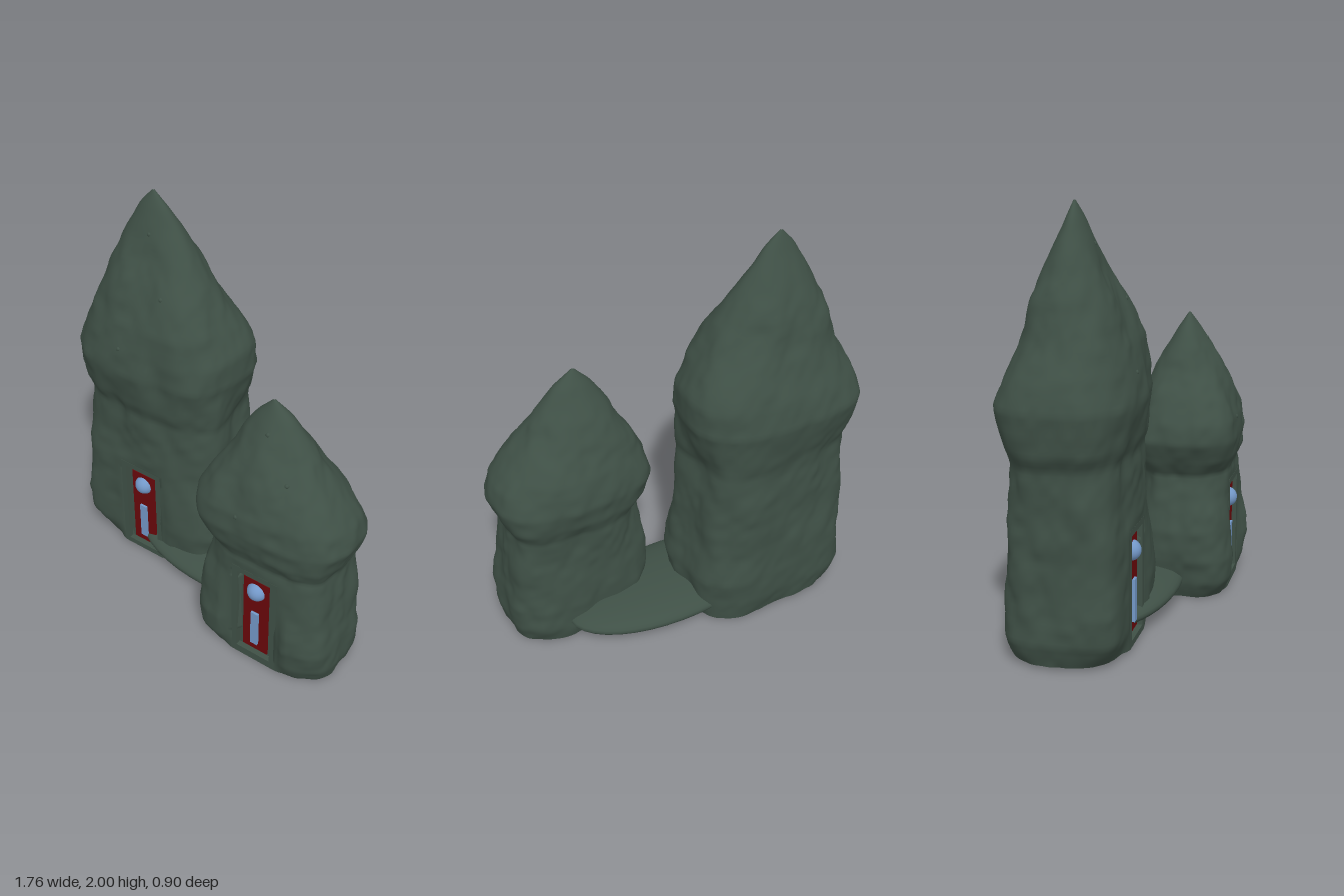
import * as THREE from 'three';

const green = new THREE.MeshStandardMaterial({ color: 0x3f5046 });
green.name = 'mossy stone';
const red = new THREE.MeshStandardMaterial({ color: 0x6a080a });
red.name = 'dark red';
const blue = new THREE.MeshStandardMaterial({ color: 0x7398c8 });
blue.name = 'pale blue';

// Seeded smooth value noise, -1..1
function hash(x, y, z) {
  let h = Math.imul(x, 374761393) ^ Math.imul(y, 668265263) ^ Math.imul(z, 2147425276);
  h = Math.imul(h ^ (h >>> 13), 1274126177);
  return ((h ^ (h >>> 16)) >>> 0) / 2147483648 - 1;
}
function noise(x, y, z) {
  const [i, j, k] = [x, y, z].map(Math.floor);
  const [a, b, c] = [x - i, y - j, z - k].map(t => t * t * (3 - 2 * t));
  const m = THREE.MathUtils.lerp;
  const row = (dy, dz) => m(hash(i, j + dy, k + dz), hash(i + 1, j + dy, k + dz), a);
  return m(m(row(0, 0), row(1, 0), b), m(row(0, 1), row(1, 1), b), c);
}

// Silhouettes: [y, left x, right x, back z, front z, then the squareness of the
// four corners going round from +x +z, -x +z, -x -z to +x -z]
const tallRock = [
  [0.015, -0.80, 0.01, -0.395, 0.12, 2.8, 2.7, 2.8, 2.8],
  [0.12, -0.84, 0.03, -0.42, 0.14, 3.6, 4.5, 3.3, 3],
  [0.26, -0.84, 0.045, -0.43, 0.145, 4.2, 6.5, 3.6, 3.2],
  [0.5, -0.82, 0.005, -0.41, 0.135, 3.6, 5, 3.5, 3.2],
  [0.75, -0.83, -0.015, -0.40, 0.12, 3.3, 3.6, 3.3, 3.2],
  [0.9, -0.83, -0.03, -0.395, 0.11, 3.2, 2.9, 2.9, 3.2],
  [0.97, -0.86, -0.015, -0.41, 0.135, 3.3, 3, 2.8, 3.3],
  [1.15, -0.885, 0.025, -0.43, 0.155, 3.8, 3.1, 2.7, 3.5],
  [1.28, -0.845, 0.015, -0.41, 0.145, 3.2, 2.8, 2.5, 3.1],
  [1.4, -0.795, -0.04, -0.375, 0.125, 2.7, 2.5, 2.3, 2.7],
  [1.6, -0.71, -0.165, -0.30, 0.05, 2.3, 2.2, 2.1, 2.3],
  [1.8, -0.615, -0.295, -0.215, -0.035, 2, 2, 2, 2],
  [1.93, -0.54, -0.39, -0.165, -0.09, 2, 2, 2, 2],
  [2.0, -0.474, -0.466, -0.134, -0.126, 2, 2, 2, 2],
];
const smallRock = [
  [0, 0.165, 0.835, -0.035, 0.40, 2.8, 2.7, 2.8, 2.8],
  [0.08, 0.135, 0.86, -0.055, 0.43, 3.8, 3.6, 3.3, 3.2],
  [0.2, 0.12, 0.87, -0.06, 0.44, 4.6, 4.4, 3.6, 3.5],
  [0.35, 0.12, 0.85, -0.055, 0.42, 4.2, 4.2, 3.5, 3.5],
  [0.5, 0.14, 0.84, -0.045, 0.405, 3.6, 3.6, 3.4, 3.4],
  [0.63, 0.16, 0.825, -0.045, 0.40, 3.2, 3.2, 3.2, 3.2],
  [0.7, 0.125, 0.85, -0.07, 0.435, 3.1, 3.2, 3.2, 2.9],
  [0.8, 0.095, 0.875, -0.085, 0.455, 2.9, 3, 3, 2.6],
  [0.9, 0.11, 0.845, -0.065, 0.445, 2.7, 2.8, 2.8, 2.5],
  [1.0, 0.145, 0.775, -0.03, 0.405, 2.5, 2.5, 2.5, 2.4],
  [1.2, 0.255, 0.64, 0.06, 0.30, 2.1, 2.1, 2.1, 2.1],
  [1.33, 0.345, 0.52, 0.125, 0.23, 2, 2, 2, 2],
  [1.405, 0.416, 0.424, 0.176, 0.184, 2, 2, 2, 2],
];

function sectionAt(profile, y) {
  let k = 0;
  while (k < profile.length - 2 && y > profile[k + 1][0]) k++;
  const t = (y - profile[k][0]) / (profile[k + 1][0] - profile[k][0]);
  const [, xl, xr, zb, zf, ...corners] =
    profile[k].map((v, i) => THREE.MathUtils.lerp(v, profile[k + 1][i], t));
  return { cx: (xl + xr) / 2, cz: (zb + zf) / 2, rx: (xr - xl) / 2, rz: (zf - zb) / 2, corners };
}

// Weathered boulder lofted from squarish rings, with a shallow niche for the door
function rockGeometry({ profile, door }) {
  const sides = 112, rings = 96, pos = [], index = [];
  const y0 = profile[0][0], y1 = profile[profile.length - 1][0];
  const fade = THREE.MathUtils.smoothstep;
  for (let j = 0; j <= rings; j++) {
    const y = y0 + (y1 - y0) * j / rings;
    const s = sectionAt(profile, y);
    for (let i = 0; i < sides; i++) {
      const a = i / sides * Math.PI * 2, c = Math.cos(a), d = Math.sin(a);
      const n = s.corners[Math.floor(i * 4 / sides)];
      const r = Math.pow(Math.abs(c) ** n + Math.abs(d) ** n, -1 / n);
      let x = s.cx + s.rx * c * r, z = s.cz + s.rz * d * r;
      const wall = d > 0 ? (1 - fade(Math.abs(x - door.x), 0.12, 0.19)) * (1 - fade(y, 0.56, 0.62)) : 0;
      const lump = 0.024 * noise(x * 5 + 9, y * 3.5, z * 5) + 0.012 * noise(x * 11, y * 7 + 4, z * 11)
        + 0.005 * noise(x * 25, y * 20, z * 25 + 7);
      const push = lump * fade(s.rx, 0, 0.28) * (1 - wall);
      x += c * push;
      z = THREE.MathUtils.lerp(z + d * push, door.z + 0.022, wall);
      if (d > 0 && y > 0.035 && y < 0.545 && Math.abs(x - door.x) < 0.098) z = door.z - 0.015;
      pos.push(x, y, z);
    }
  }
  for (let j = 0; j < rings; j++) {
    for (let i = 0; i < sides; i++) {
      const A = j * sides + i, B = j * sides + (i + 1) % sides, C = A + sides, D = B + sides;
      index.push(A, C, B, B, C, D);
    }
  }
  // Flat underside with its own vertices
  const base = pos.length / 3, s = sectionAt(profile, y0);
  pos.push(...pos.slice(0, sides * 3), s.cx, y0, s.cz);
  for (let i = 0; i < sides; i++) index.push(base + sides, base + i, base + (i + 1) % sides);
  const g = new THREE.BufferGeometry();
  g.setAttribute('position', new THREE.Float32BufferAttribute(pos, 3));
  g.setIndex(index);
  g.computeVertexNormals();
  return g;
}

// Point of the rock's front nearest to x, y
function frontPoint(geometry, x, y) {
  const p = geometry.attributes.position, best = new THREE.Vector3(), v = new THREE.Vector3();
  let least = Infinity;
  for (let i = 0; i < p.count; i++) {
    v.fromBufferAttribute(p, i);
    const miss = Math.hypot(v.x - x, v.y - y);
    if (geometry.attributes.normal.getZ(i) > 0 && miss < least) {
      least = miss;
      best.copy(v);
    }
  }
  return best;
}

function add(parent, name, geometry, material, x, y, z) {
  const m = new THREE.Mesh(geometry, material);
  m.name = name;
  m.position.set(x, y, z);
  parent.add(m);
  return m;
}

function rectangle(path, w, h) {
  return path.moveTo(-w / 2, -h / 2).lineTo(w / 2, -h / 2).lineTo(w / 2, h / 2).lineTo(-w / 2, h / 2).closePath();
}

// Red door recessed in a stone surround, with round window and long handle
function makeDoor({ x, z }) {
  const g = new THREE.Group();
  g.name = 'door';
  const surround = rectangle(new THREE.Shape(), 0.25, 0.555);
  surround.holes.push(rectangle(new THREE.Path(), 0.19, 0.495));
  const frame = new THREE.ExtrudeGeometry(surround, { depth: 0.044, bevelEnabled: false });
  add(g, 'doorFrame', frame, green, 0, 0.291, -0.021);
  add(g, 'doorRecess', new THREE.BoxGeometry(0.2, 0.51, 0.02), green, 0, 0.291, -0.016);
  add(g, 'doorPanel', new THREE.BoxGeometry(0.14, 0.455, 0.009), red, 0, 0.286, 0);
  add(g, 'doorWindow', new THREE.SphereGeometry(0.05, 24, 16), blue, 0, 0.443, -0.008);
  add(g, 'doorHandle', new THREE.BoxGeometry(0.04, 0.205, 0.03), blue, 0, 0.206, 0.002);
  g.position.set(x, 0, z);
  return g;
}

function makeHouse(name, design) {
  const g = new THREE.Group();
  g.name = name;
  const rock = rockGeometry(design);
  add(g, 'rock', rock, green, 0, 0, 0);
  g.add(makeDoor(design.door));
  // Small studs sunk into the front face
  for (const [x, y] of design.studs) {
    const p = frontPoint(rock, x, y);
    add(g, 'stud', new THREE.SphereGeometry(0.012, 12, 8), green, p.x, p.y, p.z - 0.007);
  }
  return g;
}

export function createModel() {
  const model = new THREE.Group();
  model.name = 'rockHouses';
  model.add(makeHouse('tallHouse', {
    profile: tallRock, door: { x: -0.41, z: 0.105 },
    studs: [[-0.44, 1.82], [-0.31, 1.56], [-0.5, 1.28]],
  }));
  model.add(makeHouse('smallHouse', {
    profile: smallRock, door: { x: 0.488, z: 0.38 },
    studs: [[0.45, 1.28], [0.585, 1.1], [0.4, 0.9]],
  }));
  // Flattened mound joining the two houses
  const mound = add(model, 'mound', new THREE.SphereGeometry(1, 40, 20), green, 0.05, 0.1, -0.055);
  mound.scale.set(0.575, 0.078, 0.275);
  return model;
}
